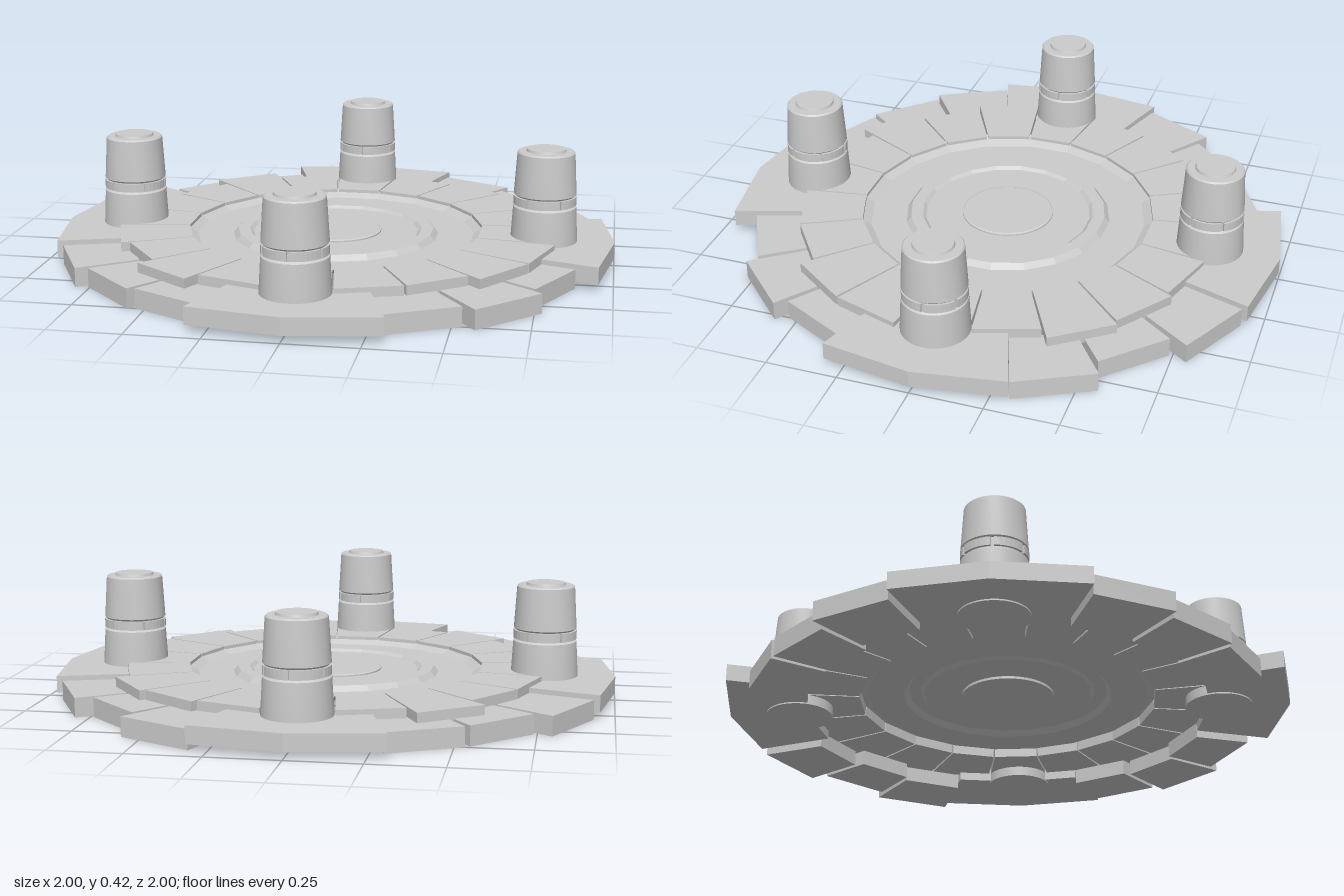
import * as THREE from 'three';
import { toCreasedNormals } from 'three/addons/utils/BufferGeometryUtils.js';

const flat = new THREE.MeshStandardMaterial({ color: 0xcccccc, flatShading: true });
const thin = new THREE.MeshStandardMaterial({ color: 0xcccccc, flatShading: true, side: THREE.DoubleSide });
const smooth = new THREE.MeshStandardMaterial({ color: 0xcccccc });
const rad = THREE.MathUtils.degToRad;

function add(parent, name, geometry, material) {
  const mesh = new THREE.Mesh(geometry, material);
  mesh.name = name;
  parent.add(mesh);
  return mesh;
}

// Wedge-shaped paving slab; steps = number of straight pieces on its curved edges
function slab(angle, half, rIn, rOut, y0, y1, steps = 1) {
  const pts = [];
  const put = (r, a) => pts.push(new THREE.Vector2(r * Math.cos(rad(a)), -r * Math.sin(rad(a))));
  for (let i = 0; i <= steps; i++) put(rOut, angle - half + (2 * half * i) / steps);
  for (let i = steps; i >= 0; i--) put(rIn, angle - half + (2 * half * i) / steps);
  const g = new THREE.ExtrudeGeometry(new THREE.Shape(pts), { depth: y1 - y0, bevelEnabled: false });
  return g.rotateX(-Math.PI / 2).translate(0, y0, 0);
}

function lathe(profile, sides, phase = 0) {
  return new THREE.LatheGeometry(profile.map(([r, y]) => new THREE.Vector2(r, y)), sides, phase);
}

// Tapered bollard with a notched collar and a raised cap
function pillar() {
  const group = new THREE.Group();
  const body = lathe([
    [0, 0.02], [0.118, 0.02], [0.118, 0.085], [0.111, 0.21], [0.103, 0.216], [0.103, 0.25],
    [0.11, 0.256], [0.101, 0.403], [0.096, 0.408], [0.07, 0.408], [0.067, 0.417], [0, 0.417],
  ], 36);
  add(group, 'pillarBody', toCreasedNormals(body, 0.4), smooth);
  const n = 6;
  for (let i = 0; i < n; i++) {
    add(group, 'collarSegment', slab((i * 360) / n + 30, 27, 0.095, 0.111, 0.219, 0.249, 6), flat);
  }
  return group;
}

export function createModel() {
  const model = new THREE.Group();
  model.name = 'roundPlatform';

  // Sunken floor with a raised ring and a round centre plate
  add(model, 'centreFloor', lathe([
    [0.55, 0.1], [0.5, 0.075], [0.372, 0.075], [0.355, 0.094], [0.312, 0.094], [0.3, 0.084], [0.0, 0.084],
  ], 20, rad(9)), thin);
  add(model, 'centrePlate', toCreasedNormals(lathe([
    [0, 0.075], [0.165, 0.075], [0.165, 0.089], [0.158, 0.092], [0, 0.092],
  ], 40), 0.4), smooth);

  // Inner ring of twenty slabs with uneven outer edges
  const innerExtra = [0, 0.05, 0.05, 0, 0, 0, 0, 0.06, 0, 0.03, 0, 0, 0, 0.075, 0, 0, 0.01, 0.03, 0.05, 0];
  innerExtra.forEach((extra, i) => {
    add(model, 'innerSlab', slab(i * 18, 8.7, 0.53, 0.755 + extra, 0.055, 0.102), flat);
  });

  // Outer ring: a wide slab and three narrow slabs in each quarter
  const outerExtra = [[0, 0.045, 0], [0, 0.02, 0.06], [0.06, 0, 0], [0.06, 0, 0.06]];
  outerExtra.forEach((extras, q) => {
    add(model, 'wideOuterSlab', slab(q * 90, 18.4, 0.72, 1, 0.025, 0.085, 2), flat);
    extras.forEach((extra, i) => {
      const a = q * 90 + 27 + i * 18;
      add(model, 'outerSlab', slab(a, 8.4, 0.72 + extra * 0.5, 0.92 + extra, 0, 0.068), flat);
    });

    // One pillar on every wide slab
    const p = pillar();
    p.name = 'pillar';
    p.position.set(0.75 * Math.cos(rad(q * 90)), 0, 0.75 * Math.sin(rad(q * 90)));
    p.rotation.y = -rad(q * 90);
    model.add(p);
  });

  return model;
}
